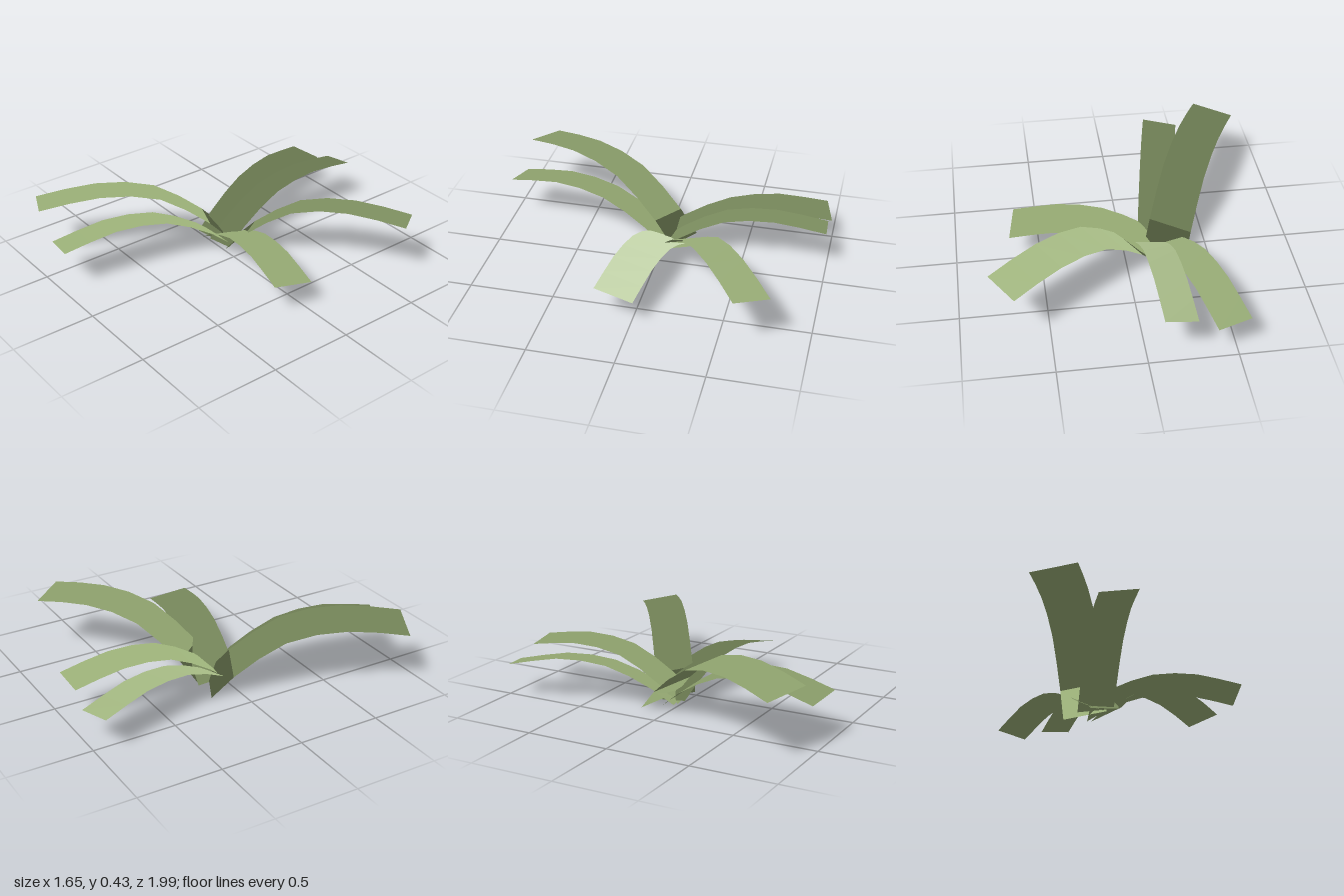
import * as THREE from 'three';

const SEGMENTS = 7;

// One arched leaf growing along +z, rooted at the origin
function leafGeometry(length, width, peak, end, lift) {
  const arch = new THREE.SplineCurve([
    [0, 0], [0.1, 0.3], [0.22, 0.58], [0.37, 0.85], [0.51, 0.96],
    [0.66, 1], [0.83, (1 + end / peak) / 2 + 0.02], [1, end / peak],
  ].map(([t, h]) => new THREE.Vector2(t * length, h * peak)));
  const spine = arch.getSpacedPoints(SEGMENTS);
  const geometry = new THREE.PlaneGeometry(width, 1, 1, SEGMENTS);
  const { position, normal } = geometry.attributes;
  for (let i = 0; i < position.count; i++) {
    const p = spine[Math.floor(i / 2)];
    const x = position.getX(i);
    position.setXYZ(i, x, p.y + (x / width) * lift, p.x);
    // even shading along the whole leaf, leaning outward
    normal.setXYZ(i, 0, Math.SQRT1_2, Math.SQRT1_2);
  }
  return geometry;
}

export function createModel() {
  const model = new THREE.Group();
  model.name = 'plant';
  const leafGreen = new THREE.MeshStandardMaterial({ color: 0x98ad75, side: THREE.DoubleSide });
  leafGreen.name = 'leafGreen';

  // root: x, y, z; tip: x, z; lift: height of the left edge over the right
  const leaves = [
    { name: 'frontLongLeaf', root: [-0.23, 0.021, -0.12], tip: [-0.712, 0.908], width: 0.256, peak: 0.39, end: 0.345, lift: 0.042 },
    { name: 'frontLeaf', root: [-0.185, 0.03, -0.05], tip: [-0.375, 0.975], width: 0.214, peak: 0.285, end: 0.225, lift: 0.036 },
    { name: 'leftLeaf', root: [-0.22, 0.028, -0.06], tip: [0.66, 0.095], width: 0.235, peak: 0.21, end: 0.16, lift: -0.036 },
    { name: 'backLeftLeaf', root: [-0.115, 0.022, -0.07], tip: [0.757, -0.69], width: 0.223, peak: 0.37, end: 0.33, lift: -0.035 },
    { name: 'backRightLeaf', root: [-0.225, 0.03, 0], tip: [-0.475, -0.975], width: 0.196, peak: 0.23, end: 0.17, lift: 0.02 },
    { name: 'backLeaf', root: [-0.14, 0.03, 0], tip: [-0.18, -0.988], width: 0.185, peak: 0.28, end: 0.235, lift: -0.025 },
  ];

  for (const { name, root, tip, width, peak, end, lift } of leaves) {
    const dx = tip[0] - root[0];
    const dz = tip[1] - root[2];
    const leaf = new THREE.Mesh(leafGeometry(Math.hypot(dx, dz), width, peak, end, lift), leafGreen);
    leaf.name = name;
    leaf.position.set(...root);
    leaf.rotation.y = Math.atan2(dx, dz);
    model.add(leaf);
  }
  return model;
}
